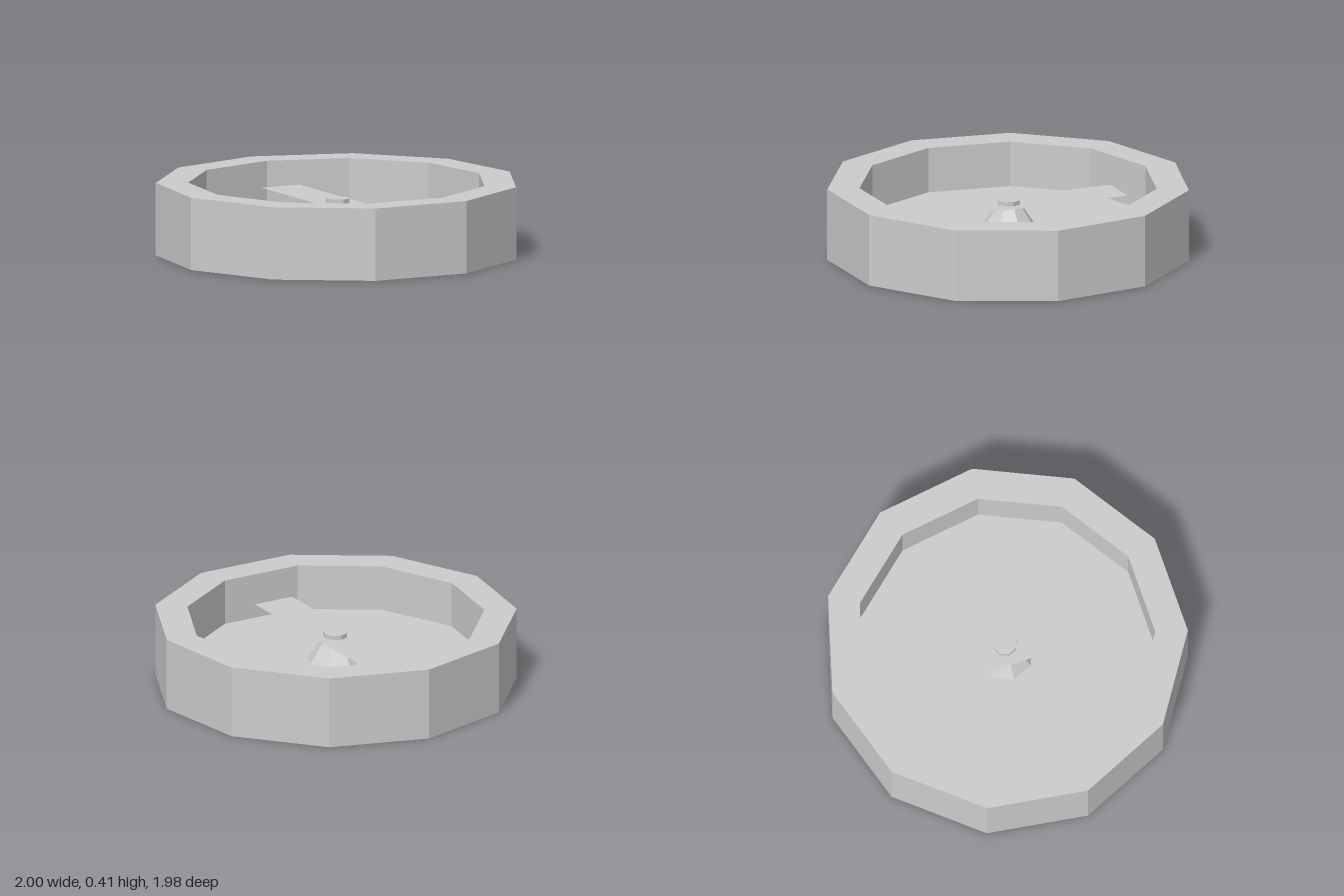
import * as THREE from 'three';

const material = new THREE.MeshStandardMaterial({ color: 0xcccccc, flatShading: true });
const needleMaterial = new THREE.MeshStandardMaterial({ color: 0xcccccc, flatShading: true, side: THREE.DoubleSide });

// Faceted solid of revolution from [radius, height] pairs
function turned(name, profile, sides, phiStart = 0) {
  const points = profile.map(([r, y]) => new THREE.Vector2(r, y));
  const geometry = new THREE.LatheGeometry(points, sides, phiStart).toNonIndexed();
  geometry.computeVertexNormals();
  const mesh = new THREE.Mesh(geometry, material);
  mesh.name = name;
  return mesh;
}

export function createModel() {
  const model = new THREE.Group();
  model.name = 'compass';

  const rimY = 0.405, floorY = 0.15, needleY = 0.285;

  // Eleven-sided dish with a thick wall, one corner pointing back
  const body = turned('case', [
    [0, 0], [1.01, 0], [1.01, rimY], [0.83, rimY], [0.83, floorY], [0, floorY],
  ], 11, Math.PI);

  // Tapered post that carries the needle
  const post = turned('pivotPost', [
    [0.16, floorY], [0.067, needleY],
  ], 8);

  // Small cap above the needle
  const cap = turned('pivotCap', [
    [0.067, needleY], [0.067, 0.31], [0, 0.31],
  ], 8);

  // Flat needle strip
  const needle = new THREE.Mesh(new THREE.PlaneGeometry(0.24, 1.333), needleMaterial);
  needle.name = 'needle';
  needle.rotation.x = -Math.PI / 2;
  needle.position.y = needleY;

  model.add(body, post, cap, needle);
  // An odd number of sides shifts the centre slightly forward
  for (const part of model.children) part.position.z = part === body ? 0.02 : 0.017;
  return model;
}
